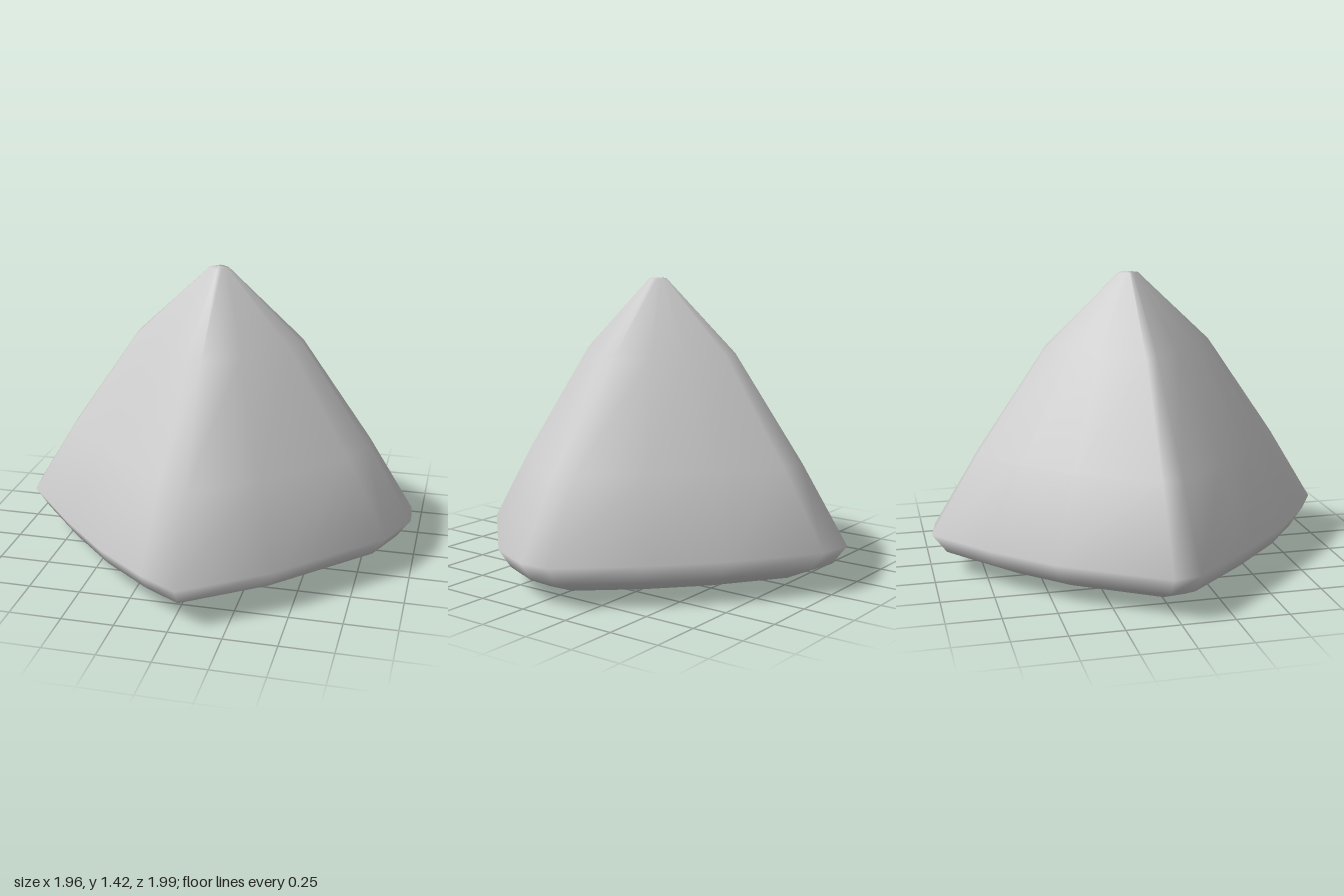
import * as THREE from 'three';

// Widest outline of the stone as x, z points, starting at the front corner
const OUTLINE = [
  [0.03, 0.99], [0.42, 0.72], [0.88, 0.26],
  [0.98, 0.03], [0.97, -0.12], [0.7, -0.43], [0.42, -0.69],
  [0.03, -0.97], [-0.14, -1], [-0.42, -0.77], [-0.68, -0.5],
  [-0.98, -0.03], [-0.96, 0.1], [-0.68, 0.42], [-0.42, 0.68], [-0.16, 0.88],
];

// Cross-sections from the underside to the tip: scale, height
const SECTIONS = [
  [0.4, 0.008], [0.8, 0.045], [0.93, 0.105], [1, 0.2],
  [0.77, 0.57], [0.42, 1.07], [0.05, 1.415],
];

function stoneGeometry() {
  const n = OUTLINE.length;
  const positions = [];
  const index = [];
  for (const [s, y] of SECTIONS) {
    for (const [x, z] of OUTLINE) positions.push(x * s, y, z * s);
  }
  // Sides between neighbouring sections
  for (let r = 0; r < SECTIONS.length - 1; r++) {
    for (let i = 0; i < n; i++) {
      const a = r * n + i;
      const b = r * n + (i + 1) % n;
      index.push(a, b, b + n, a, b + n, a + n);
    }
  }
  // Caps for the underside and the blunt tip
  const bottom = positions.length / 3;
  positions.push(0, 0, 0, 0, 1.42, 0);
  const last = (SECTIONS.length - 1) * n;
  for (let i = 0; i < n; i++) {
    const j = (i + 1) % n;
    index.push(bottom, j, i, bottom + 1, last + i, last + j);
  }
  const geometry = new THREE.BufferGeometry();
  geometry.setAttribute('position', new THREE.Float32BufferAttribute(positions, 3));
  geometry.setIndex(index);
  geometry.computeVertexNormals();
  return geometry;
}

export function createModel() {
  const group = new THREE.Group();
  group.name = 'pyramidStone';
  const stoneGrey = new THREE.MeshStandardMaterial({ color: 0xcccccc });
  stoneGrey.name = 'stone grey';
  const stone = new THREE.Mesh(stoneGeometry(), stoneGrey);
  stone.name = 'stone';
  group.add(stone);
  return group;
}
